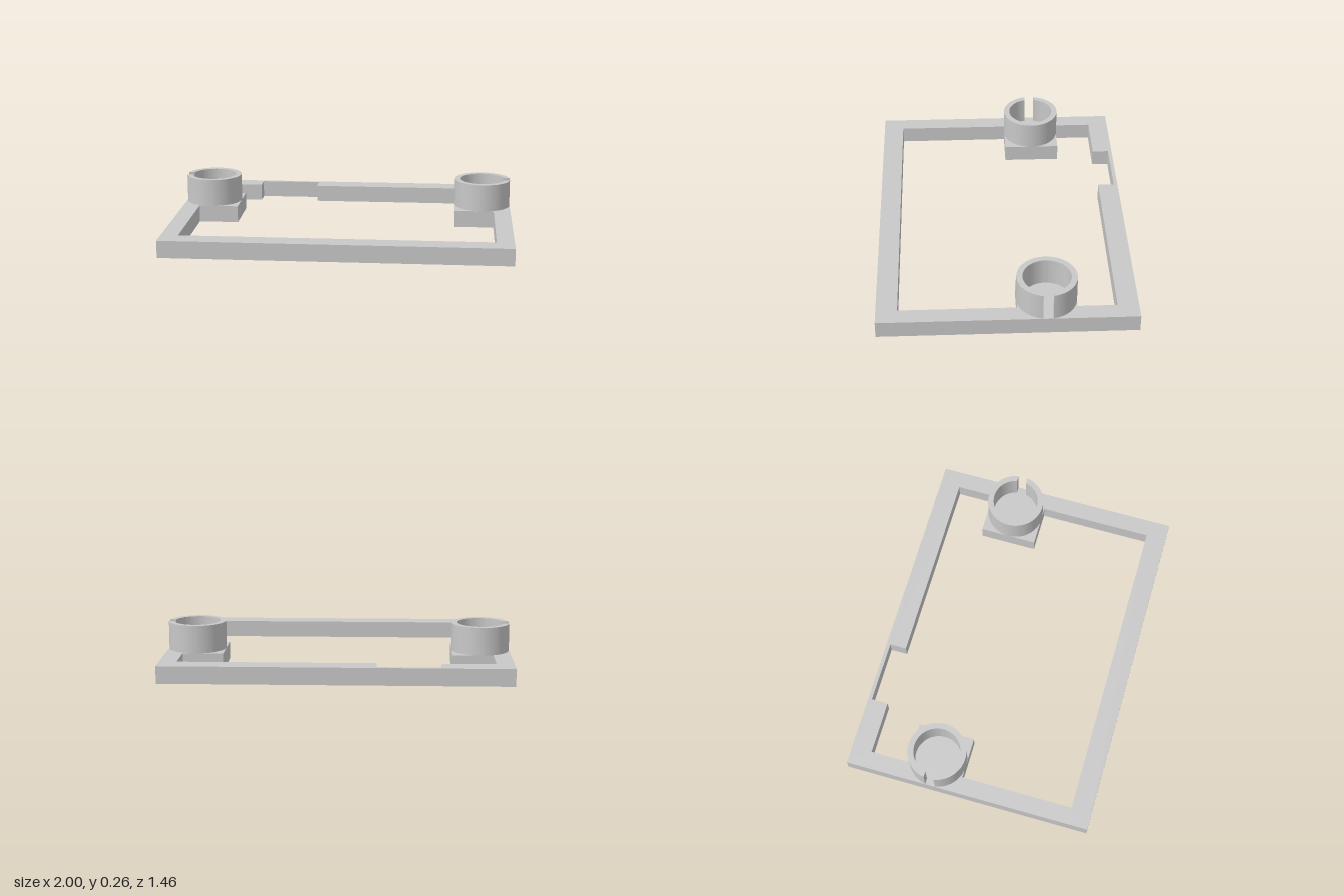
import * as THREE from 'three';
import { toCreasedNormals } from 'three/addons/utils/BufferGeometryUtils.js';

const BASE_H = 0.1, TOP = 0.262;
const CUP_X = 0.83, CUP_Z = -0.22, R_OUT = 0.17, R_IN = 0.136, SLOT = 0.029;

// Extrude a plan drawn with y = -z upwards to the given height
function extrudeUp(shape, height, curveSegments = 12) {
  const geo = new THREE.ExtrudeGeometry(shape, { depth: height, bevelEnabled: false, curveSegments });
  geo.rotateX(-Math.PI / 2);
  return toCreasedNormals(geo, 0.5);
}

const plan = (points) => points.map(([x, z]) => new THREE.Vector2(x, -z));

export function createModel() {
  const group = new THREE.Group();
  const grey = new THREE.MeshStandardMaterial({ color: 0xc8c8c8 });
  grey.name = 'lightGrey';

  // Rectangular frame with two inward pads and a recess in the back bar
  const frame = new THREE.Shape(plan([[-1, 0.73], [1, 0.73], [1, -0.73], [-1, -0.73]]));
  frame.holes.push(new THREE.Path(plan([
    [-0.9, 0.61], [-0.9, -0.052], [-0.66, -0.052], [-0.66, -0.388], [-0.9, -0.388], [-0.9, -0.61],
    [-0.59, -0.61], [-0.59, -0.708], [-0.228, -0.708], [-0.228, -0.61],
    [0.9, -0.61], [0.9, -0.388], [0.66, -0.388], [0.66, -0.052], [0.9, -0.052], [0.9, 0.61],
  ])));
  const base = new THREE.Mesh(extrudeUp(frame, BASE_H), grey);
  base.name = 'frame';
  group.add(base);

  // Round sockets, each slotted on its outer side
  const a = Math.asin(SLOT / R_OUT), b = Math.asin(SLOT / R_IN);
  const ring = new THREE.Shape();
  ring.absarc(0, 0, R_OUT, a, Math.PI * 2 - a, false);
  ring.absarc(0, 0, R_IN, Math.PI * 2 - b, b, true);
  ring.closePath();
  const ringGeo = extrudeUp(ring, TOP - BASE_H, 48);
  for (const [name, side] of [['leftSocket', 1], ['rightSocket', -1]]) {
    const socket = new THREE.Mesh(ringGeo, grey);
    socket.name = name;
    socket.position.set(side * CUP_X, BASE_H, CUP_Z);
    if (side < 0) socket.rotation.y = Math.PI;
    group.add(socket);
  }
  return group;
}
